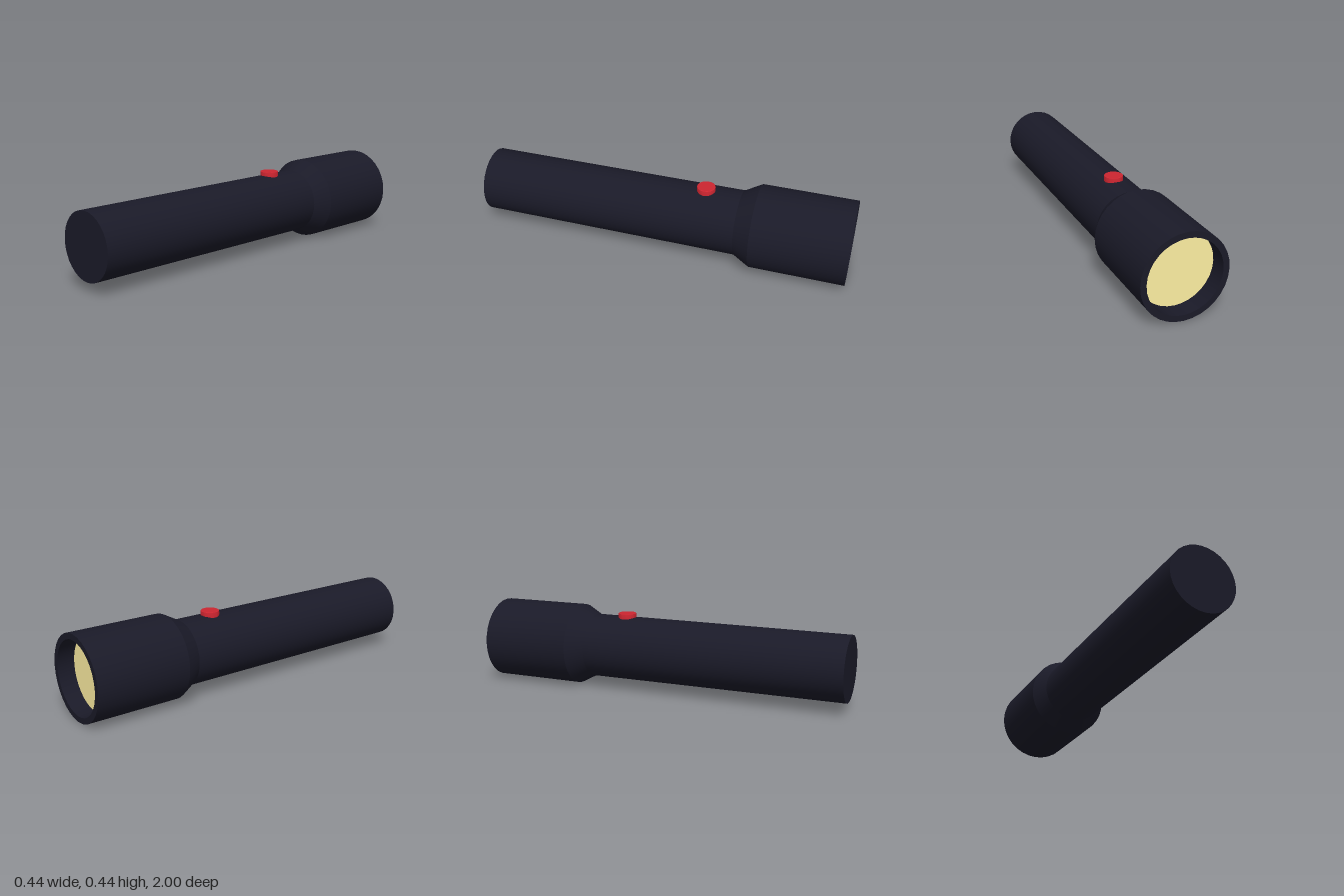
import * as THREE from 'three';
import { toCreasedNormals } from 'three/addons/utils/BufferGeometryUtils.js';

const AXIS_Y = 0.2215;

// Turned part from [radius, height] pairs, smooth around and sharp at the profile corners
function turned(name, profile, material, segments = 32) {
  const points = profile.map(([r, h]) => new THREE.Vector2(r, h));
  const geometry = toCreasedNormals(new THREE.LatheGeometry(points, segments), 0.35);
  const mesh = new THREE.Mesh(geometry, material);
  mesh.name = name;
  return mesh;
}

export function createModel() {
  const model = new THREE.Group();
  model.name = 'flashlight';

  const casing = new THREE.MeshStandardMaterial({ color: 0x1a1a28 });
  const red = new THREE.MeshStandardMaterial({ color: 0xcc2530 });
  const glow = new THREE.MeshStandardMaterial({ color: 0xfff0a3 });

  // Barrel axis: profile height runs from the tail (+z) to the lens end (-z)
  const barrel = new THREE.Group();
  barrel.name = 'barrel';
  barrel.position.y = AXIS_Y;
  barrel.rotation.x = -Math.PI / 2;
  model.add(barrel);

  // Handle with closed tail, flared neck, head and recessed mouth
  barrel.add(turned('casing', [
    [0, -1], [0.171, -1], [0.173, 0.41],
    [0.2215, 0.5], [0.2215, 1],
    [0.191, 1], [0.191, 0.9], [0, 0.9],
  ], casing));

  // Lens disc set back inside the mouth
  const lens = new THREE.Mesh(new THREE.CircleGeometry(0.191, 32), glow);
  lens.name = 'lens';
  lens.rotation.x = -Math.PI / 2;
  lens.position.y = 0.91;
  barrel.add(lens);

  // Push button with softened top edge
  const button = turned('button', [
    [0, 0], [0.049, 0], [0.049, 0.032], [0.048, 0.036], [0.045, 0.038], [0, 0.038],
  ], red);
  button.position.set(0, 0.378, -0.222);
  model.add(button);

  return model;
}
